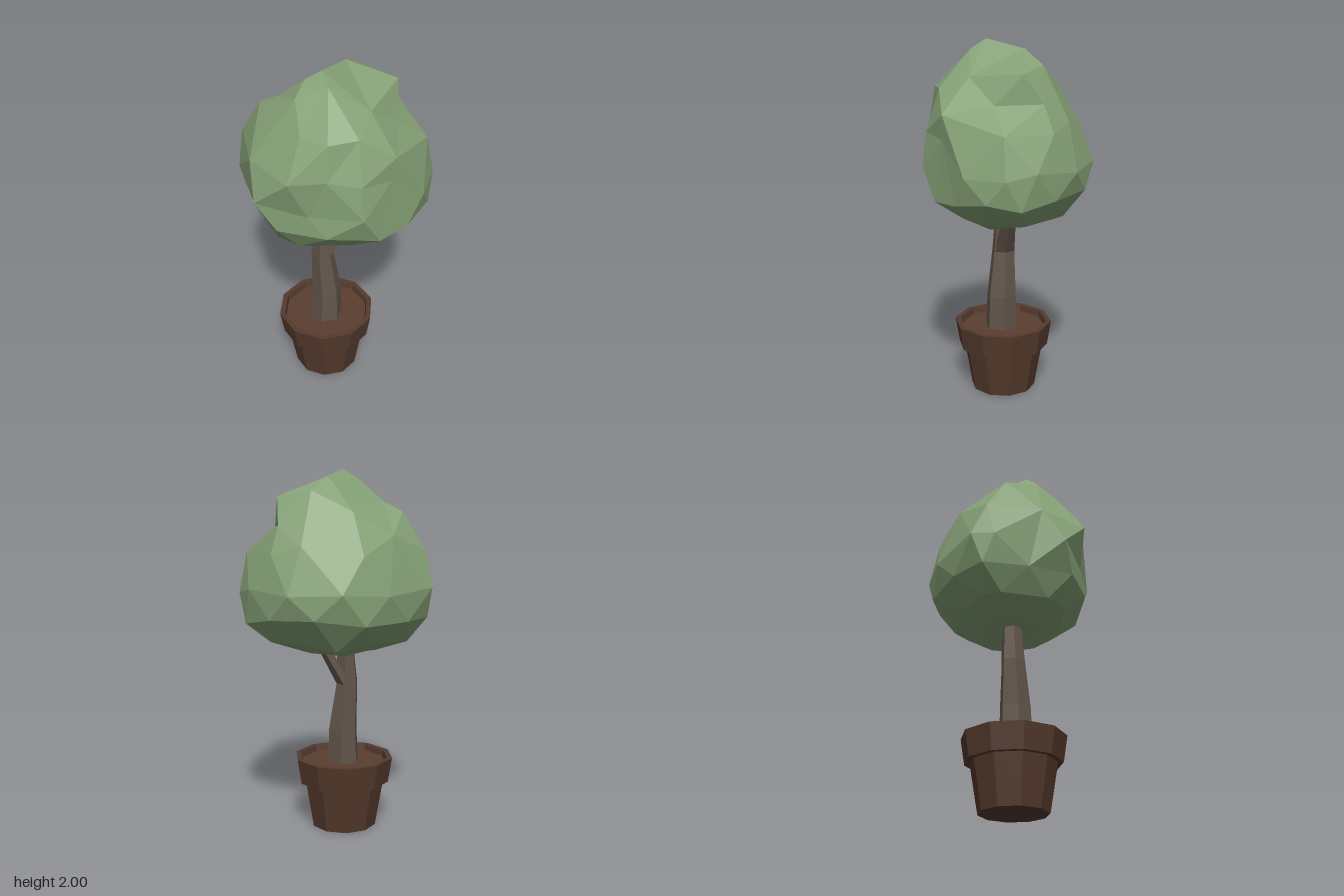
import * as THREE from 'three';
import { ConvexGeometry } from 'three/addons/geometries/ConvexGeometry.js';

const material = (color) => new THREE.MeshStandardMaterial({ color, flatShading: true });

// Closed tapered limb from sections [x, y, z, radiusX, radiusZ], bottom to top
function limb(sections, sides) {
  const pos = [];
  const tri = (...pts) => pts.forEach((p) => pos.push(...p));
  const corner = ([x, y, z, rx, rz], j) => {
    const a = (j / sides) * Math.PI * 2;
    return [x + rx * Math.cos(a), y, z + rz * Math.sin(a)];
  };
  const first = sections[0], last = sections[sections.length - 1];
  for (let j = 0; j < sides; j++) {
    for (let k = 0; k < sections.length - 1; k++) {
      const a = corner(sections[k], j), b = corner(sections[k], j + 1);
      const c = corner(sections[k + 1], j), d = corner(sections[k + 1], j + 1);
      tri(a, c, d);
      tri(a, d, b);
    }
    tri(first.slice(0, 3), corner(first, j), corner(first, j + 1));
    tri(last.slice(0, 3), corner(last, j + 1), corner(last, j));
  }
  const geo = new THREE.BufferGeometry();
  geo.setAttribute('position', new THREE.Float32BufferAttribute(pos, 3));
  geo.computeVertexNormals();
  return geo;
}

// Leafy crown: lopsided rings plus a few ridges and hollows, skinned as a star-shaped shell
function crown() {
  let seed = 11;
  const rand = () => (seed = (seed * 16807) % 2147483647) / 2147483647;
  const outline = [
    [0.495, 0.1], [0.38, 0.29], [0.22, 0.395], [0.02, 0.455], [-0.34, 0.35], [-0.485, 0.205],
    [-0.5, -0.18], [-0.46, -0.3], [-0.14, -0.44], [0.13, -0.458], [0.365, -0.3], [0.492, -0.06],
  ];
  // y, min x, max x, min z, max z
  const levels = [
    [1.015, -0.22, 0.17, -0.18, 0.15],
    [1.08, -0.38, 0.36, -0.31, 0.3],
    [1.2, -0.45, 0.465, -0.42, 0.41],
    [1.37, -0.5, 0.495, -0.455, 0.455],
    [1.57, -0.46, 0.44, -0.39, 0.42],
    [1.77, -0.37, 0.35, -0.29, 0.35],
  ];
  // Ridges and hollows that break the even shape
  const features = [
    [-0.1, 2, 0.085], [0.06, 1.955, -0.09], [-0.18, 1.95, 0.06], [-0.09, 1.95, 0.17],
    [-0.24, 1.88, 0.11], [-0.29, 1.82, -0.05], [-0.38, 1.77, -0.1], [-0.25, 1.75, 0.25],
    [-0.14, 1.75, 0.36], [0.11, 1.82, 0.215], [0.32, 1.85, -0.03], [0.285, 1.69, 0.115],
    [0.18, 1.88, -0.16], [0, 1.77, -0.29], [0.35, 1.7, -0.125], [0.28, 1.6, -0.275],
    [0.2, 1.64, 0.37], [0.18, 1.51, 0.37], [0.01, 1.53, 0.43], [0.45, 1.56, 0.1],
    [-0.34, 1.55, 0.35], [-0.24, 1.34, 0.345], [-0.21, 1.65, -0.33], [-0.475, 1.55, 0.08],
    [0.08, 0.99, 0.1], [0.1, 1.05, -0.3],
  ].map((p) => new THREE.Vector3(...p));
  const points = [...features];
  levels.forEach(([y, x0, x1, z0, z1], k) => outline.forEach((p, j) => {
    const q = outline[(j + 1) % outline.length];
    // Every other level sits half a step round
    const [ox, oz] = k % 2 ? p : [(p[0] + q[0]) * 0.525, (p[1] + q[1]) * 0.525];
    const rough = k === 3 ? 1 : 0.97 + 0.06 * rand();
    const lift = (rand() - 0.5) * (k > 1 ? 0.06 : 0.02);
    const v = new THREE.Vector3(
      ox * rough * (ox < 0 ? x0 / -0.5 : x1 / 0.495),
      y + lift,
      oz * rough * (oz < 0 ? z0 / -0.455 : z1 / 0.455),
    );
    if (features.every((f) => f.distanceTo(v) > 0.15)) points.push(v);
  }));

  // Connect neighbours by direction from the middle, then restore the true distances
  const middle = new THREE.Vector3(-0.02, 1.45, 0.01);
  const rays = points.map((p) => p.clone().sub(middle).normalize());
  const geo = new ConvexGeometry(rays);
  const pos = geo.attributes.position;
  const v = new THREE.Vector3();
  for (let i = 0; i < pos.count; i++) {
    v.fromBufferAttribute(pos, i);
    let best = 0;
    rays.forEach((r, n) => { if (r.dot(v) > rays[best].dot(v)) best = n; });
    pos.setXYZ(i, ...points[best].toArray());
  }
  geo.computeVertexNormals();
  return geo;
}

export function createModel() {
  const group = new THREE.Group();
  const add = (name, geometry, mat) => {
    const mesh = new THREE.Mesh(geometry, mat);
    mesh.name = name;
    group.add(mesh);
    return mesh;
  };
  const clay = material(0x553a2d);
  const bark = material(0x62554a);
  const potX = -0.073;

  // Ten-sided pot with a stepped, hollow rim
  const profile = [
    [0, 0], [0.184, 0], [0.228, 0.26], [0.257, 0.26], [0.279, 0.4], [0.25, 0.4], [0.242, 0.36],
  ].map(([r, y]) => new THREE.Vector2(r, y));
  const pot = add('pot', new THREE.LatheGeometry(profile, 10), clay);
  pot.position.x = potX;
  pot.rotation.y = Math.PI / 2;

  // Soil surface
  const soil = add('soil', new THREE.CircleGeometry(0.243, 10), material(0x5a3f30));
  soil.position.set(potX, 0.365, 0);
  soil.rotation.x = -Math.PI / 2;

  // Bent trunk with a side branch
  add('trunk', limb([
    [-0.075, 0.36, 0.011, 0.092, 0.092],
    [-0.071, 0.56, 0.009, 0.084, 0.086],
    [-0.09, 0.82, -0.005, 0.063, 0.066],
    [-0.078, 1.02, -0.008, 0.05, 0.053],
    [-0.075, 1.12, -0.008, 0.045, 0.046],
  ], 6), bark);
  add('branch', limb([
    [-0.068, 0.82, -0.008, 0.042, 0.06],
    [-0.017, 0.91, -0.008, 0.039, 0.052],
    [0.052, 1.03, -0.008, 0.034, 0.04],
    [0.08, 1.1, -0.008, 0.024, 0.03],
  ], 6), bark);

  add('foliage', crown(), material(0x86a277));
  return group;
}
